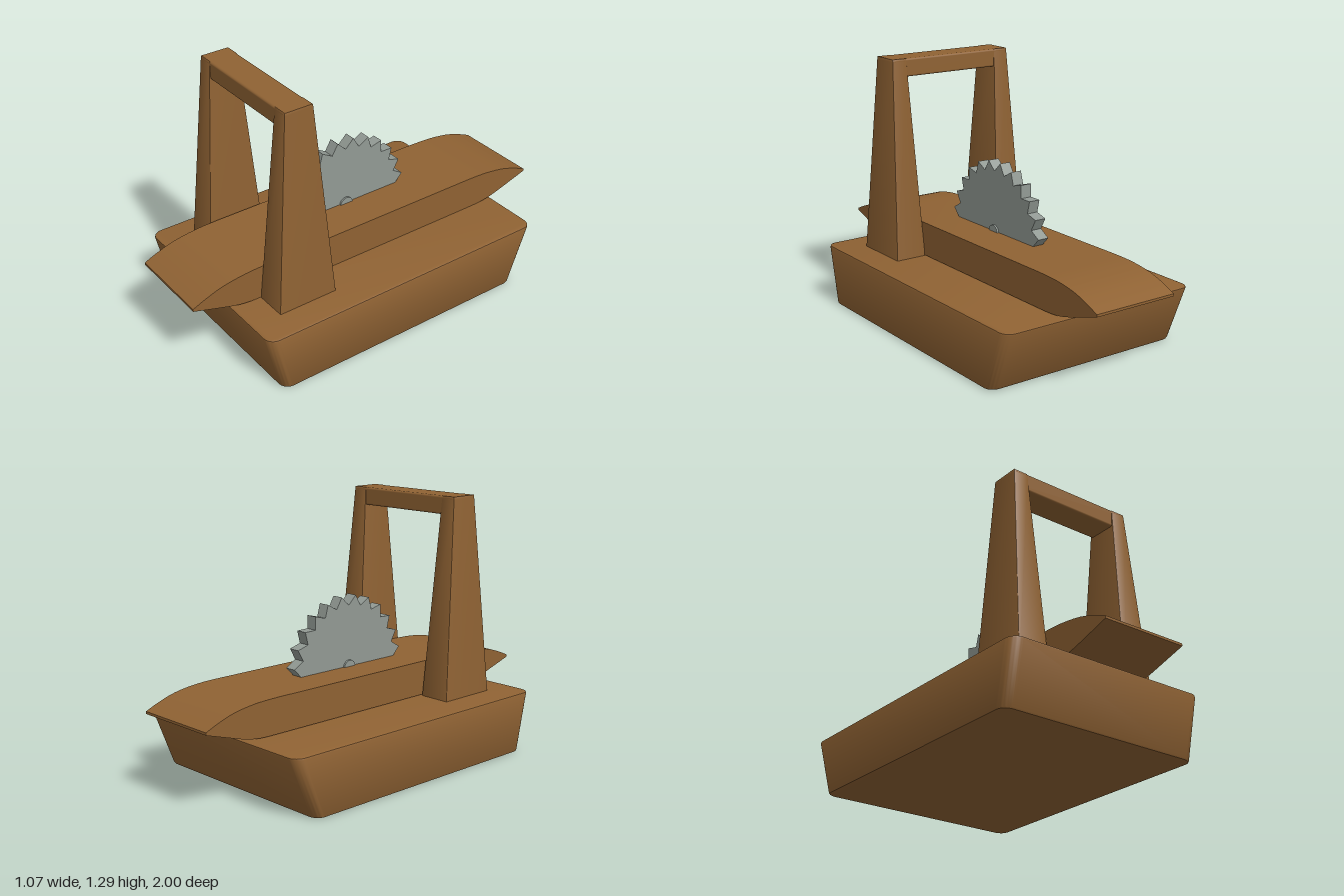
import * as THREE from 'three';
import { toCreasedNormals } from 'three/addons/utils/BufferGeometryUtils.js';
import { RoundedBoxGeometry } from 'three/addons/geometries/RoundedBoxGeometry.js';

const wood = new THREE.MeshStandardMaterial({ color: 0x8f6233 });
wood.name = 'wood';
const steel = new THREE.MeshStandardMaterial({ color: 0x929a94 });
steel.name = 'steel';

function addMesh(parent, name, geometry, material) {
  const mesh = new THREE.Mesh(geometry, material);
  mesh.name = name;
  parent.add(mesh);
  return mesh;
}

// Moves every vertex by a rule, then renews the normals with sharp edges kept
function reshape(geometry, rule) {
  const p = geometry.attributes.position;
  const v = new THREE.Vector3();
  for (let i = 0; i < p.count; i++) {
    rule(v.fromBufferAttribute(p, i));
    p.setXYZ(i, v.x, v.y, v.z);
  }
  return toCreasedNormals(geometry, 0.6);
}

const lerp = THREE.MathUtils.lerp;

// Base: rounded rectangle slab whose front and back slope inward to the floor
function baseGeometry() {
  const b = 0.01, w = 0.535 - b, l = 0.79 - b, r = 0.045, h = 0.3;
  const s = new THREE.Shape();
  s.absarc(w - r, l - r, r, 0, Math.PI / 2);
  s.absarc(-w + r, l - r, r, Math.PI / 2, Math.PI);
  s.absarc(-w + r, -l + r, r, Math.PI, Math.PI * 1.5);
  s.absarc(w - r, -l + r, r, Math.PI * 1.5, Math.PI * 2);
  const g = new THREE.ExtrudeGeometry(s, {
    depth: h - 2 * b, bevelEnabled: true, bevelSize: b, bevelThickness: b, bevelSegments: 2, curveSegments: 5,
  });
  g.rotateX(-Math.PI / 2).translate(0, b, 0);
  return reshape(g, (v) => {
    const t = v.y / h;
    v.z = v.z * lerp(0.695 / 0.79, 1, t) + lerp(0.035, 0.01, t);
  });
}

// Plank: side profile with curved, thinning ends
function plankGeometry() {
  const top = [[1, 0.395], [0.93, 0.424], [0.84, 0.452], [0.72, 0.469], [0.6, 0.473]];
  const bottom = [[0.6, 0.303], [0.7, 0.305], [0.78, 0.317], [0.88, 0.346], [1, 0.383]];
  const curve = (pts) => new THREE.SplineCurve(pts.map(([z, y]) => new THREE.Vector2(z, y))).getPoints(12);
  const a = curve(top), c = curve(bottom);
  const flip = (pts) => pts.map((p) => new THREE.Vector2(-p.x, p.y)).reverse();
  const g = new THREE.ExtrudeGeometry(new THREE.Shape([...a, ...flip(a), ...flip(c), ...c]), {
    depth: 0.44, bevelEnabled: false,
  });
  g.rotateY(-Math.PI / 2).translate(0.228, 0, 0);
  return toCreasedNormals(g, 0.6);
}

// Leg: softened post tapering in both directions
function legGeometry(side) {
  const g = new RoundedBoxGeometry(1, 1.0, 1, 2, 0.012);
  return reshape(g, (v) => {
    const t = v.y + 0.5;
    const outer = lerp(0.385, 0.338, t), inner = lerp(0.222, 0.262, t);
    v.x = side * (outer + inner) / 2 + v.x * (outer - inner) + 0.003;
    v.z = lerp(0.49, 0.488, t) + v.z * lerp(0.31, 0.145, t);
    v.y = 0.29 + t;
  });
}

// Saw blade: 24 pointed teeth around a disc
function bladeGeometry() {
  const s = new THREE.Shape();
  const teeth = 24, tip = 0.354, root = 0.306;
  for (let i = 0; i < teeth * 2; i++) {
    const a = (i + 0.5 * 2) * Math.PI / teeth;
    const r = i % 2 === 0 ? tip : root;
    s[i ? 'lineTo' : 'moveTo'](Math.cos(a) * r, Math.sin(a) * r);
  }
  s.closePath();
  const g = new THREE.ExtrudeGeometry(s, { depth: 0.058, bevelEnabled: false });
  return g.translate(0, 0, -0.029).rotateY(-Math.PI / 2);
}

export function createModel() {
  const model = new THREE.Group();
  model.name = 'tableSaw';

  addMesh(model, 'base', baseGeometry(), wood);
  addMesh(model, 'plank', plankGeometry(), wood);

  // Arch over the plank
  const arch = new THREE.Group();
  arch.name = 'arch';
  addMesh(arch, 'leftLeg', legGeometry(1), wood);
  addMesh(arch, 'rightLeg', legGeometry(-1), wood);
  addMesh(arch, 'crossbar', new RoundedBoxGeometry(0.675, 0.09, 0.147, 2, 0.01), wood)
    .position.set(0.003, 1.245, 0.488);
  model.add(arch);

  // Blade with its axle
  const saw = new THREE.Group();
  saw.name = 'saw';
  addMesh(saw, 'blade', bladeGeometry(), steel);
  const axle = new THREE.CylinderGeometry(0.036, 0.036, 0.076, 16).rotateZ(Math.PI / 2);
  addMesh(saw, 'axle', axle, steel);
  saw.position.set(-0.001, 0.469, 0.012);
  model.add(saw);

  return model;
}
